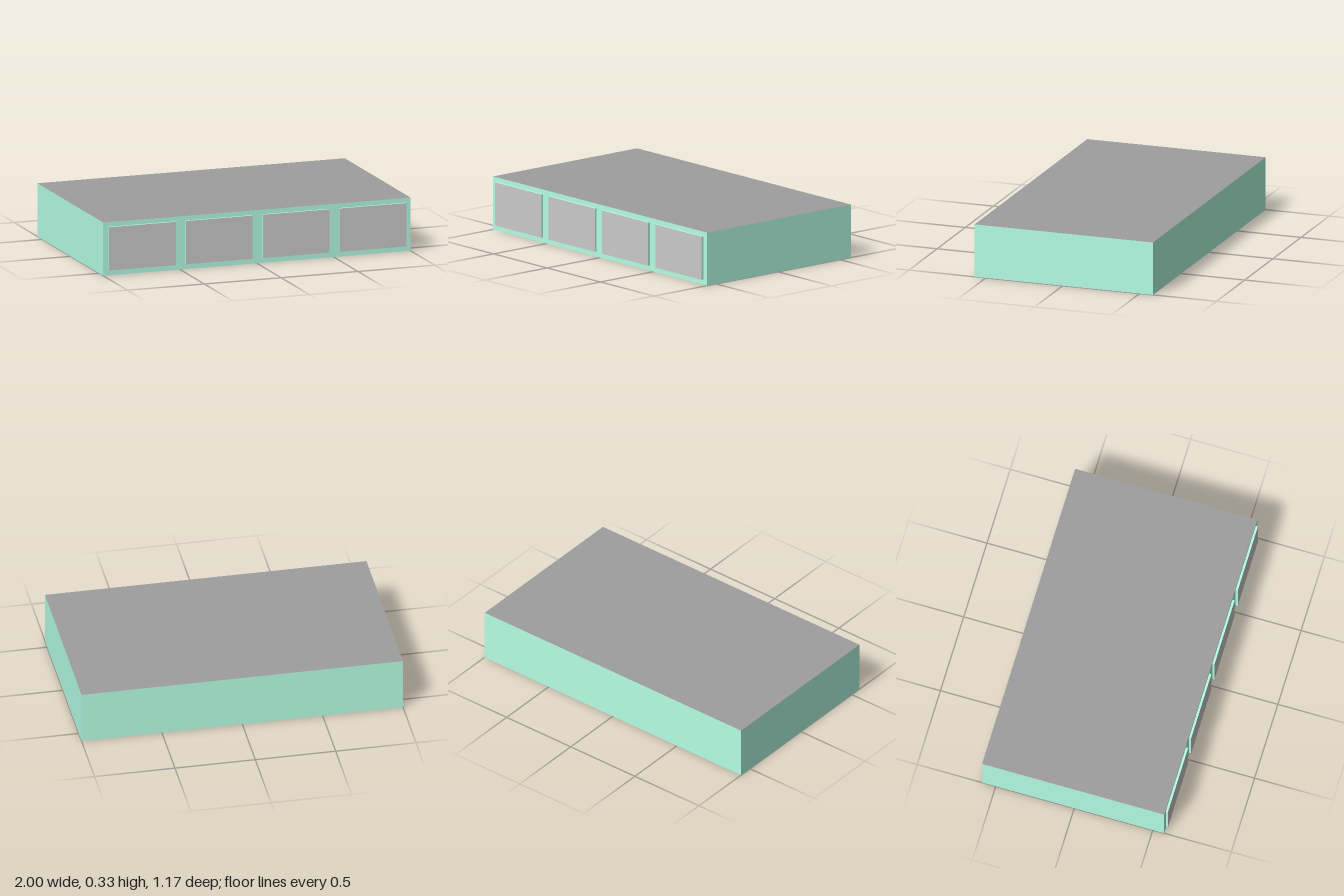
import * as THREE from 'three';

const green = new THREE.MeshStandardMaterial({ color: 0xb5ffe5 });
const panelGrey = new THREE.MeshStandardMaterial({ color: 0xcccccc });
const slabGrey = new THREE.MeshStandardMaterial({ color: 0x9e9e9e });

// Box given by its minimum and maximum corners; materials run +x, -x, +y, -y, +z, -z
function box(name, min, max, materials) {
  const size = max.map((v, i) => v - min[i]);
  const mesh = new THREE.Mesh(new THREE.BoxGeometry(...size), materials);
  mesh.position.set(...max.map((v, i) => (v + min[i]) / 2));
  mesh.name = name;
  return mesh;
}

export function createModel() {
  const model = new THREE.Group();
  model.name = 'cabinet';

  // Body: green walls with grey top and base
  model.add(box('body', [-1, 0, -0.587], [1, 0.333, 0.573],
    [green, green, slabGrey, slabGrey, green, green]));

  // Four raised front panels: green edges with grey faces
  for (let i = 0; i < 4; i++) {
    const x = -0.75 + i * 0.5;
    model.add(box(`frontPanel${i + 1}`, [x - 0.217, 0.033, 0.573], [x + 0.217, 0.304, 0.587],
      [green, green, green, green, panelGrey, green]));
  }
  return model;
}
